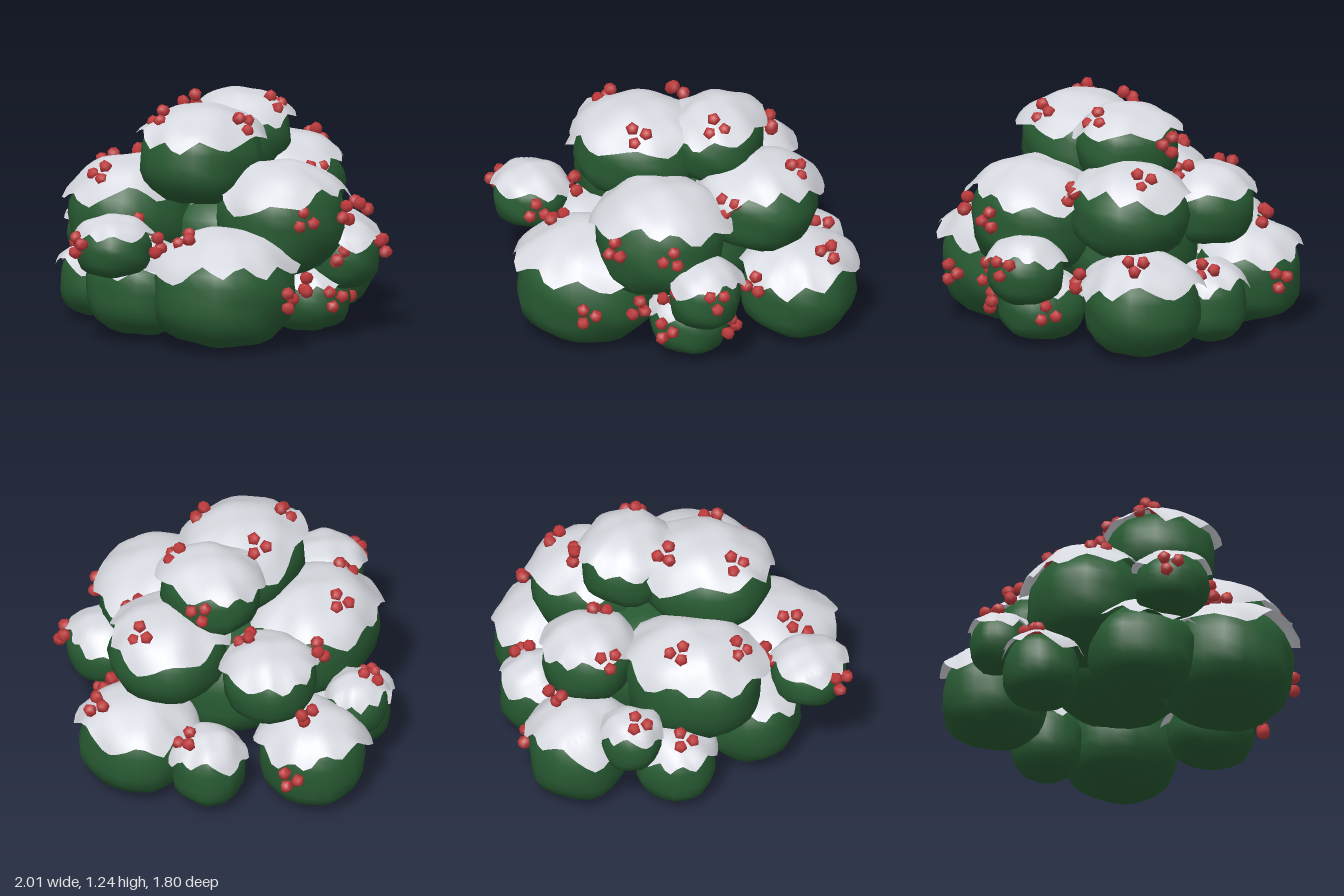
import * as THREE from 'three';
import { mergeVertices } from 'three/addons/utils/BufferGeometryUtils.js';

const leafMat = new THREE.MeshStandardMaterial({ color: 0x285b33 });
leafMat.name = 'leaf green';
const snowMat = new THREE.MeshStandardMaterial({ color: 0xd6d8df, side: THREE.DoubleSide });
snowMat.name = 'snow white';
const berryMat = new THREE.MeshStandardMaterial({ color: 0xc03a3c });
berryMat.name = 'berry red';

// Foliage clumps: centre x, y, z and radii x, y, z
const clumps = [
  [-0.36, 0.30, 0.46, 0.37, 0.29, 0.34],
  [0.03, 0.62, 0.50, 0.33, 0.28, 0.31],
  [0.31, 0.41, 0.67, 0.18, 0.17, 0.19],
  [0.20, 0.19, 0.53, 0.20, 0.17, 0.22],
  [0.68, 0.27, 0.18, 0.29, 0.25, 0.29],
  [0.62, 0.23, -0.23, 0.18, 0.20, 0.18],
  [0.24, 0.26, -0.61, 0.25, 0.25, 0.27],
  [0.28, 0.65, -0.37, 0.23, 0.20, 0.23],
  [0.46, 0.71, 0.15, 0.30, 0.23, 0.29],
  [-0.18, 0.93, 0.14, 0.32, 0.24, 0.29],
  [0.22, 0.99, 0.06, 0.23, 0.20, 0.26],
  [-0.26, 0.59, -0.26, 0.35, 0.28, 0.29],
  [-0.77, 0.53, 0.06, 0.19, 0.15, 0.19],
  [-0.07, 0.42, -0.67, 0.15, 0.15, 0.15],
  [-0.25, 0.21, -0.50, 0.20, 0.19, 0.19],
  [-0.48, 0.27, -0.02, 0.25, 0.24, 0.27],
];

// Clusters of berries: x, y, z
const clusters = [
  [-0.28, 0.28, 0.80], [-0.13, 0.67, 0.81], [0.17, 0.66, 0.82], [0.13, 0.47, 0.72],
  [0.42, 0.47, 0.85], [0.13, 0.22, 0.78], [0.43, 0.20, 0.60], [0.52, 0.38, 0.47],
  [0.87, 0.53, 0.30], [-0.38, 1.14, 0.03], [-0.12, 1.12, 0.38], [0.26, 1.14, 0.24],
  [-0.03, 1.17, -0.06], [0.47, 1.04, -0.06], [0.67, 0.92, 0.17], [0.38, 0.80, 0.42],
  [-0.95, 0.56, 0.00], [-0.68, 0.55, 0.28], [-0.55, 0.60, 0.02], [-0.55, 0.57, 0.37],
  [-0.50, 0.82, -0.26], [-0.24, 0.85, -0.43], [-0.12, 0.55, -0.71], [0.10, 0.80, -0.55],
  [0.35, 0.58, -0.65], [0.72, 0.42, -0.16], [0.51, 0.27, -0.67], [-0.32, 0.40, -0.56],
  [-0.03, 0.30, 0.72], [0.28, 0.84, -0.22],
];

// Length measure that makes a clump domed above and boxy below
function clumpLength(x, y, z) {
  const across = (Math.abs(x) ** 2.3 + Math.abs(z) ** 2.3) ** (1 / 2.3);
  const power = y > 0 ? 2.15 : 2.7;
  return (across ** power + Math.abs(y) ** power) ** (1 / power);
}

// Point on a lumpy clump for a given direction
function clumpPoint(c, seed, dir, scale = 1) {
  const lump = 1 + 0.025 * Math.sin(dir.x * 7 + seed * 2.1) * Math.cos(dir.z * 7 + seed)
    + 0.018 * Math.sin(dir.y * 8 + dir.x * 4 + seed * 1.3);
  const k = scale * lump / clumpLength(dir.x, dir.y, dir.z);
  return new THREE.Vector3(c[0] + dir.x * c[3] * k, c[1] + dir.y * c[4] * k, c[2] + dir.z * c[5] * k);
}

// Rebuild a geometry from moved vertices with smooth normals and no seam
function reshape(geo, move) {
  const pos = geo.attributes.position, uv = geo.attributes.uv;
  for (let i = 0; i < pos.count; i++) {
    const p = move(new THREE.Vector3().fromBufferAttribute(pos, i), uv.getY(i));
    pos.setXYZ(i, p.x, p.y, p.z);
  }
  geo.deleteAttribute('uv');
  geo.deleteAttribute('normal');
  const merged = mergeVertices(geo, 1e-5);
  merged.computeVertexNormals();
  return merged;
}

function leafGeometry(c, seed) {
  return reshape(new THREE.SphereGeometry(1, 20, 14), (d) => {
    const p = clumpPoint(c, seed, d);
    p.y = Math.max(p.y, 0);
    return p;
  });
}

// Snow cap: an open shell with a drooping, irregularly pointed and flared rim
function snowGeometry(c, seed) {
  return reshape(new THREE.SphereGeometry(1, 42, 9, 0, Math.PI * 2, 0, 2), (d, v) => {
    const a = Math.atan2(d.z, d.x), t = 1 - v;
    const warped = a + 0.2 * Math.sin(2 * a + seed * 1.9);
    const tooth = Math.abs(Math.asin(Math.sin(warped * 4 + seed))) / (Math.PI / 2);
    const edge = 1.08 + 0.25 * tooth + 0.08 * Math.sin(2 * a + seed) + 0.07 * Math.sin(3 * a + seed * 3);
    const theta = t * edge;
    const dir = new THREE.Vector3(
      Math.sin(theta) * Math.cos(a), Math.cos(theta), Math.sin(theta) * Math.sin(a));
    const flare = 0.08 + 0.03 * Math.sin(3 * a + seed);
    const p = clumpPoint(c, seed, dir, 1.05 + flare * t ** 4);
    p.y += 0.012;
    return p;
  });
}

// Place a point on the surface of its nearest clump and find the outward direction
function settle(p) {
  let best = null, least = Infinity;
  for (const c of clumps) {
    const d = clumpLength((p.x - c[0]) / c[3], (p.y - c[1]) / c[4], (p.z - c[2]) / c[5]);
    if (d < least) { least = d; best = c; }
  }
  const centre = new THREE.Vector3(best[0], best[1], best[2]);
  const out = p.clone().sub(centre);
  const at = centre.clone().addScaledVector(out, Math.max(1, 1.09 / least));
  return { at, normal: out.normalize() };
}

export function createModel() {
  const model = new THREE.Group();
  model.name = 'snowyBerryBush';

  // Foliage and snow
  clumps.forEach((c, i) => {
    const clump = new THREE.Group();
    clump.name = 'clump' + (i + 1);
    const leaves = new THREE.Mesh(leafGeometry(c, i + 1), leafMat);
    leaves.name = 'foliage';
    const snow = new THREE.Mesh(snowGeometry(c, i + 1), snowMat);
    snow.name = 'snowCap';
    clump.add(leaves, snow);
    model.add(clump);
  });

  // Inner foliage closing the gaps
  const core = new THREE.Mesh(leafGeometry([0.12, 0.46, 0.02, 0.34, 0.28, 0.36], 30), leafMat);
  core.name = 'innerFoliage';
  model.add(core);

  // Berries in threes
  const berryGeo = new THREE.SphereGeometry(0.036, 5, 4);
  clusters.forEach((c, i) => {
    const { at, normal } = settle(new THREE.Vector3(...c));
    const bunch = new THREE.Group();
    bunch.name = 'berryCluster' + (i + 1);
    bunch.position.copy(at);
    bunch.quaternion.setFromUnitVectors(new THREE.Vector3(0, 0, 1), normal);
    for (let k = 0; k < 3; k++) {
      const a = i * 1.7 + k * Math.PI * 2 / 3;
      const berry = new THREE.Mesh(berryGeo, berryMat);
      berry.name = 'berry';
      berry.position.set(Math.cos(a) * 0.044, Math.sin(a) * 0.044, 0.004 * k);
      berry.rotation.set(Math.PI / 2, a, 0);
      bunch.add(berry);
    }
    model.add(bunch);
  });
  return model;
}
